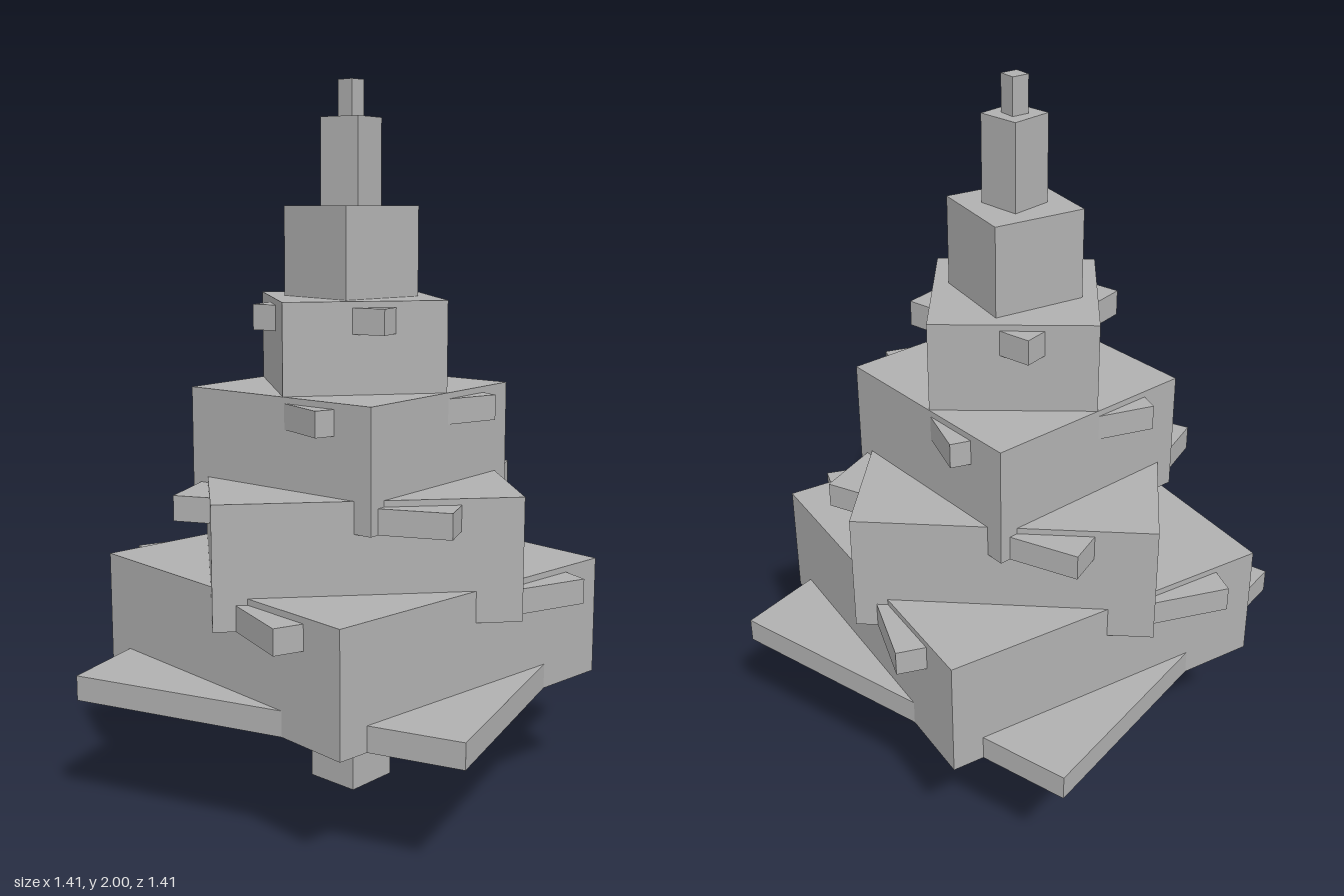
import * as THREE from 'three';

export function createModel() {
  const group = new THREE.Group();
  group.name = 'steppedTree';
  const grey = new THREE.MeshStandardMaterial({ color: 0xb0b0b0 });
  grey.name = 'grey';

  // Square block about the vertical axis, set by one corner (x, z) and its height range
  function block(name, x, z, y0, y1) {
    const side = Math.hypot(x, z) * Math.SQRT2;
    const mesh = new THREE.Mesh(new THREE.BoxGeometry(side, y1 - y0, side), grey);
    mesh.position.y = (y0 + y1) / 2;
    mesh.rotation.y = Math.PI / 4 - Math.atan2(z, x);
    mesh.name = name;
    group.add(mesh);
  }

  block('trunk', 0.082, 0.082, 0, 0.34);

  // Each tier: a thin twisted plate and a tall block sharing the same underside
  const tiers = [
    { plate: [0.705, 0.37], body: [0.45, 0.537] },
    { plate: [0.29, 0.603], body: [0.04, 0.575] },
    { plate: [0.51, 0.18], body: [0.335, 0.295] },
    { plate: [0.2, 0.357], body: [0.04, 0.313] },
    { plate: [0.245, 0.14], body: [0.115, 0.147] },
  ];
  tiers.forEach(({ plate, body }, i) => {
    const y = 0.33 + i * 0.249;
    block('plate' + (i + 1), ...plate, y, y + 0.07);
    block('tier' + (i + 1), ...body, y, y + 0.336);
  });

  // Spire and tip
  block('spire', 0.07, 0.05, 1.58, 1.9);
  block('tip', 0.025, 0.025, 1.85, 2);

  return group;
}
